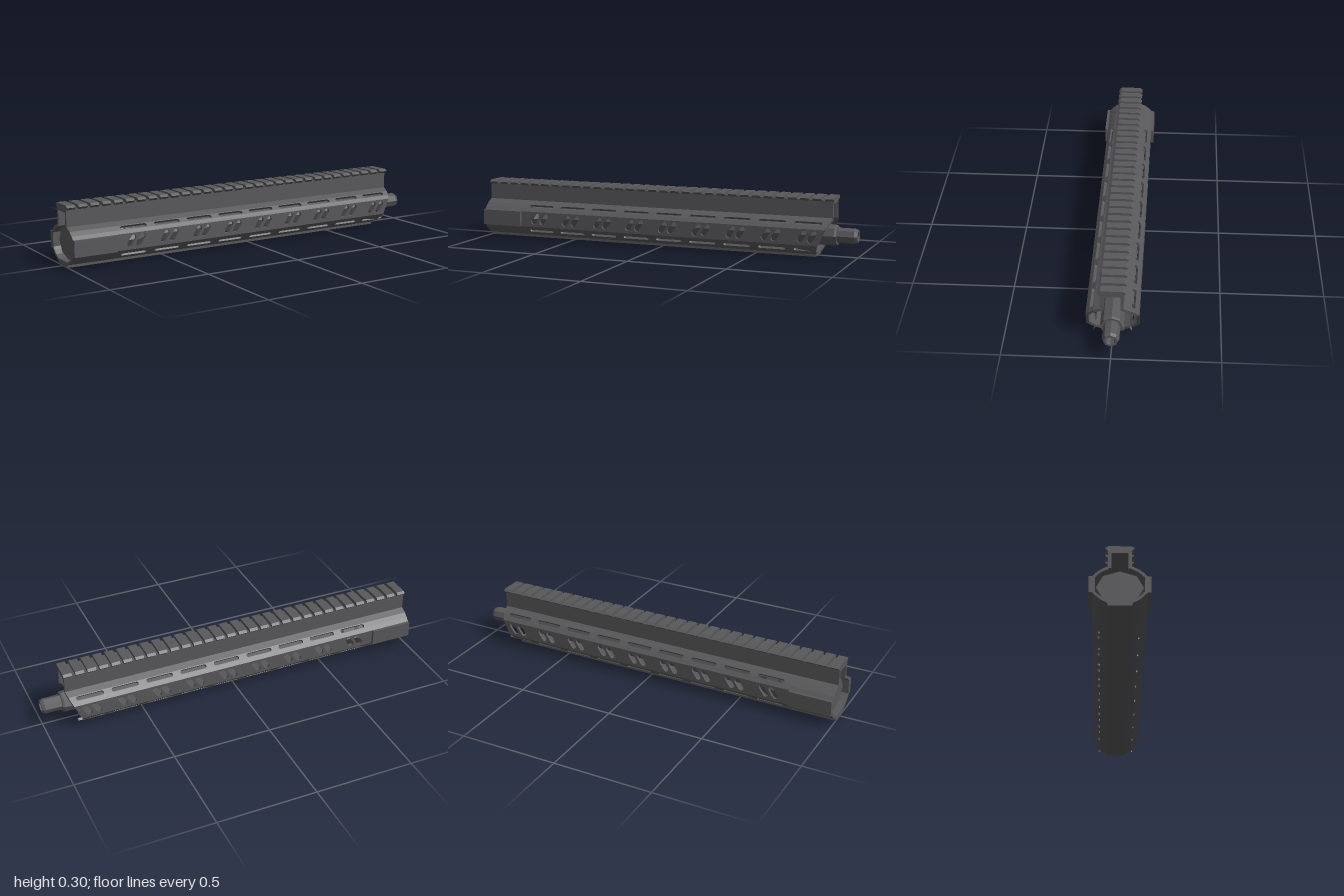
import * as THREE from 'three';

const metal = new THREE.MeshStandardMaterial({ color: 0x58585b });
metal.name = 'gunmetal grey';

const BACK = -1, WALL = 0.013, CENTRE_Y = 0.105;
const frontEnd = y => 0.8 + 0.44 * y; // raked front edge of the shell

export function createModel() {
  const model = new THREE.Group();
  model.name = 'handguard';

  const add = (name, geometry, parent = model) => {
    const mesh = new THREE.Mesh(geometry, metal);
    mesh.name = name;
    parent.add(mesh);
    return mesh;
  };
  const box = (name, x0, x1, y0, y1, z0, z1) =>
    add(name, new THREE.BoxGeometry(x1 - x0, y1 - y0, z1 - z0)
      .translate((x0 + x1) / 2, (y0 + y1) / 2, (z0 + z1) / 2));

  // Stadium outline between two points, used for every cut-out
  const slot = (ax, ay, bx, by, r) => {
    const a = Math.atan2(by - ay, bx - ax), pts = [];
    for (let i = 0; i <= 6; i++) {
      const t = a + Math.PI / 2 + Math.PI * i / 6;
      pts.push(new THREE.Vector2(ax + r * Math.cos(t), ay + r * Math.sin(t)));
    }
    for (let i = 0; i <= 6; i++) {
      const t = a - Math.PI / 2 + Math.PI * i / 6;
      pts.push(new THREE.Vector2(bx + r * Math.cos(t), by + r * Math.sin(t)));
    }
    return pts;
  };

  // Long shell plate between two section points [z, y]; thickness goes inward
  const panel = (name, lo, hi, side, slots = []) => {
    const length = Math.hypot(hi[0] - lo[0], hi[1] - lo[1]);
    const [p, q] = side > 0 ? [lo, hi] : [hi, lo];
    const shape = new THREE.Shape([
      new THREE.Vector2(BACK, 0), new THREE.Vector2(frontEnd(p[1]), 0),
      new THREE.Vector2(frontEnd(q[1]), length), new THREE.Vector2(BACK, length)]);
    for (const pts of slots) {
      const hole = pts.map(v => new THREE.Vector2(v.x, side > 0 ? v.y : length - v.y));
      shape.holes.push(new THREE.Path(hole));
    }
    const geo = new THREE.ExtrudeGeometry(shape, { depth: WALL, bevelEnabled: false });
    const along = new THREE.Vector3(0, q[1] - p[1], side * (q[0] - p[0])).normalize();
    const ex = new THREE.Vector3(1, 0, 0);
    const out = new THREE.Vector3().crossVectors(ex, along);
    const m = new THREE.Matrix4().makeBasis(ex, along, out)
      .setPosition(-0 * out.x, p[1] - WALL * out.y, side * p[0] - WALL * out.z);
    add(name, geo.applyMatrix4(m));
  };

  // Half section of the shell, from bottom to top
  const section = [[0.053, 0.012], [0.085, 0.029], [0.107, 0.049], [0.122, 0.065],
    [0.122, 0.145], [0.107, 0.161], [0.085, 0.179], [0.053, 0.195]];
  const names = ['lowerPanel', 'lowerSlotPanel', 'lowerEdge', 'sidePanel',
    'upperEdge', 'upperSlotPanel', 'upperPanel'];
  const stations = Array.from({ length: 9 }, (_, i) => -0.674 + 0.181 * i);

  for (const side of [1, -1]) {
    names.forEach((name, i) => {
      const lo = section[i], hi = section[i + 1];
      const mid = Math.hypot(hi[0] - lo[0], hi[1] - lo[1]) / 2;
      let slots = [];
      if (name.includes('Slot')) {
        slots = stations.map(x => slot(x - 0.06, mid, x + 0.06, mid, 0.01));
      } else if (name === 'sidePanel') {
        // Pairs of slanted vents
        for (const x of stations) for (const d of [-0.025, 0.025])
          slots.push(slot(x + d - 0.01, 0.026, x + d + 0.012, 0.058, 0.014));
      }
      panel(name, lo, hi, side, slots);
    });
    // Riser wall and rear side plate
    const [w0, w1] = side > 0 ? [0.038, 0.053] : [-0.053, -0.038];
    box('riserWall', BACK, 0.885, 0.185, 0.264, w0, w1);
    const [s0, s1] = side > 0 ? [0.121, 0.137] : [-0.137, -0.121];
    box('rearSidePlate', BACK, -0.78, 0.065, 0.145, s0, s1);
  }

  // Floor of the shell and keel plate below it
  box('floor', BACK, 0.808, 0.012, 0.025, -0.054, 0.054);
  box('keelPlate', BACK, 0.802, 0, 0.012, -0.053, 0.053);

  // Top rail: solid base with a row of bevelled teeth
  box('railBase', BACK, 0.885, 0.262, 0.28, -0.053, 0.053);
  const tooth = new THREE.Shape([[-0.053, 0.275], [0.053, 0.275], [0.066, 0.287],
    [0.053, 0.297], [-0.053, 0.297], [-0.066, 0.287]].map(p => new THREE.Vector2(...p)));
  const toothGeo = new THREE.ExtrudeGeometry(tooth, { depth: 0.044, bevelEnabled: false })
    .rotateY(Math.PI / 2);
  const rail = new THREE.Group();
  rail.name = 'railTeeth';
  model.add(rail);
  for (let i = 0; i < 31; i++) add('railTooth', toothGeo, rail).position.x = BACK + i * 0.0615;

  // Eight-sided turned parts along x, faceted; profile is [radius, x]
  const turned = (name, profile, zScale) => {
    const geo = new THREE.LatheGeometry(profile.map(p => new THREE.Vector2(...p)), 8)
      .rotateZ(-Math.PI / 2).scale(1, 1, zScale).translate(0, CENTRE_Y, 0).toNonIndexed();
    geo.computeVertexNormals();
    add(name, geo);
  };
  turned('barrelNut', [[0, -0.97], [0.081, -0.97], [0.081, -0.72], [0.074, -0.7],
    [0.07, -0.64], [0.05, -0.6], [0, -0.6]], 1.3);
  turned('barrel', [[0, -0.65], [0.052, -0.65], [0.052, 0.89], [0.049, 0.9], [0.038, 0.9],
    [0.038, 0.985], [0.032, 1], [0.022, 1], [0.018, 0.94], [0, 0.94]], 1.03);

  return model;
}
